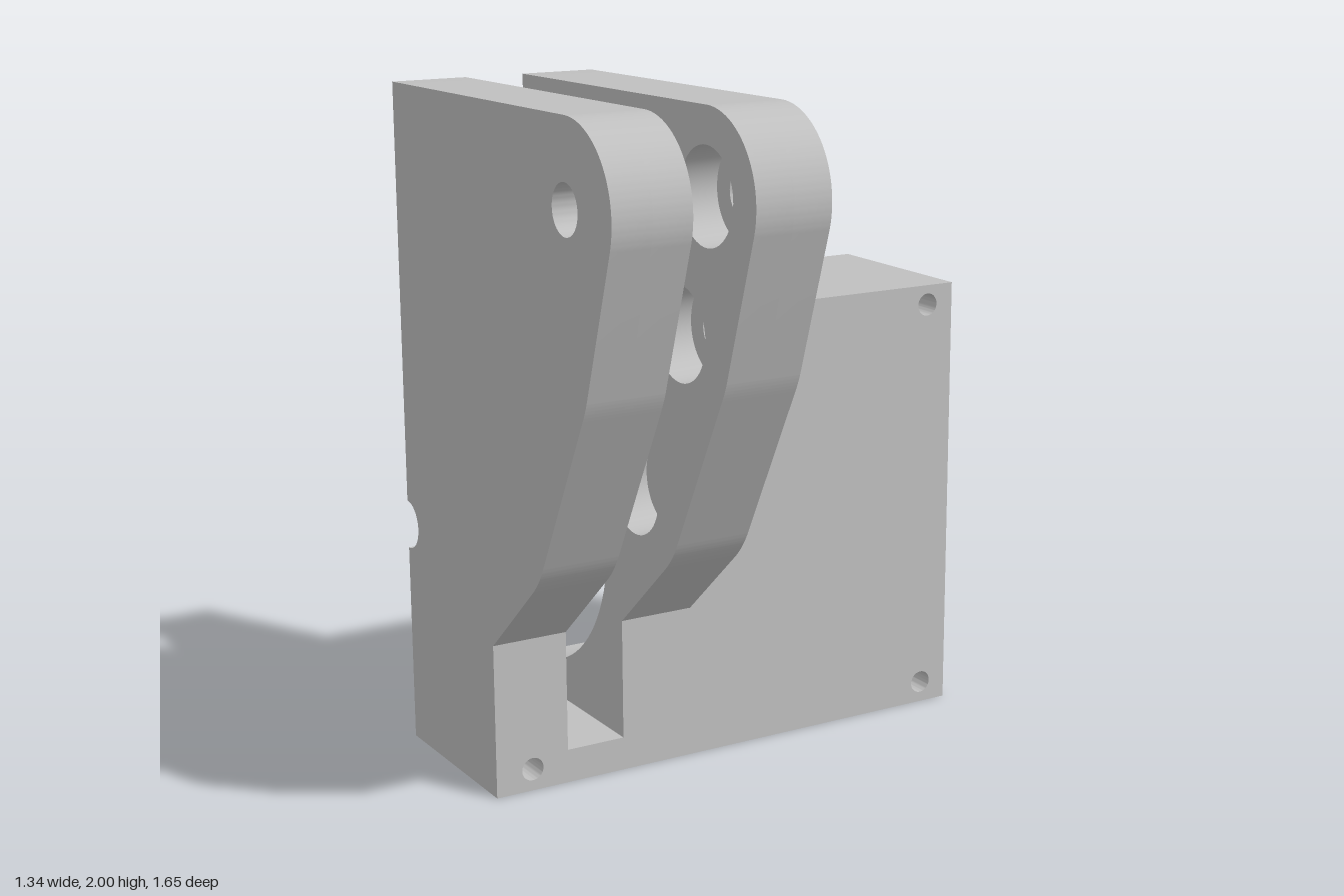
import * as THREE from 'three';
import { toCreasedNormals } from 'three/addons/utils/BufferGeometryUtils.js';

// Local axes: x = depth of the housing, y = up, z = along the shaft
const DEPTH = 0.566, BLOCK_TOP = 1.34, SHAFT_Y = 0.673;
const SHAFT_R = 0.073, SEAT_R = 0.13, CAVITY_R = 0.482;
const STRIP = 0.13;                                  // height of the screw strips
const PINS = [[1.052, 1.762], [0.911, 1.373], [0.652, 0.881]];
const PIN_R = 0.07, BORE_R = 0.135, SCREW_R = 0.034;

export function createModel() {
  const grey = new THREE.MeshStandardMaterial({ color: 0xbfbfbf });
  grey.name = 'light grey';
  const model = new THREE.Group();
  model.name = 'gearHousing';

  const extrude = (shape, depth) =>
    new THREE.ExtrudeGeometry(shape, { depth, bevelEnabled: false, curveSegments: 32 });

  const add = (name, geometry) => {
    const mesh = new THREE.Mesh(toCreasedNormals(geometry, 0.5), grey);
    mesh.name = name;
    model.add(mesh);
  };

  // Layer between two z positions
  const layer = (name, shape, z0, z1) => add(name, extrude(shape, z1 - z0).translate(0, 0, z0));

  // Half-round channel for the shaft, cut into the x = 0 edge on the way down
  const channel = (s, r) => {
    s.lineTo(0, SHAFT_Y + r);
    s.absarc(0, SHAFT_Y, r, Math.PI / 2, -Math.PI / 2, true);
  };

  const wallShape = (r) => {
    const s = new THREE.Shape();
    s.moveTo(0, STRIP);
    s.lineTo(DEPTH, STRIP);
    s.lineTo(DEPTH, BLOCK_TOP - STRIP);
    s.lineTo(0, BLOCK_TOP - STRIP);
    channel(s, r);
    s.closePath();
    return s;
  };

  // Tall plate outline, optionally notched for the screw inserts
  const plateShape = (channelR, holes, notched) => {
    const s = new THREE.Shape();
    const base = notched ? STRIP : 0;
    s.moveTo(0, base);
    s.lineTo(DEPTH, base);
    s.lineTo(DEPTH, 0.46);
    s.lineTo(0.82, 0.685);
    s.quadraticCurveTo(0.865, 0.725, 0.893, 0.78);
    s.lineTo(1.13, 1.23);
    s.quadraticCurveTo(1.147, 1.262, 1.156, 1.29);
    s.absarc(1.058, 1.76, 0.24, -0.33, Math.PI / 2, false);
    s.lineTo(0, 1.985);
    if (notched) {
      s.lineTo(0, BLOCK_TOP);
      s.lineTo(DEPTH, BLOCK_TOP);
      s.lineTo(DEPTH, BLOCK_TOP - STRIP);
      s.lineTo(0, BLOCK_TOP - STRIP);
    }
    channel(s, channelR);
    s.closePath();
    for (const [[x, y], r] of holes) {
      s.holes.push(new THREE.Path().absarc(x, y, r, 0, Math.PI * 2, true));
    }
    return s;
  };

  // Bar running along z with a screw hole drilled along x
  const screwStrip = (name, z0, z1, y0, holeZ, holeY) => {
    const s = new THREE.Shape();
    s.moveTo(-z1, y0);
    s.lineTo(-z0, y0);
    s.lineTo(-z0, y0 + STRIP);
    s.lineTo(-z1, y0 + STRIP);
    s.closePath();
    s.holes.push(new THREE.Path().absarc(-holeZ, holeY, SCREW_R, 0, Math.PI * 2, true));
    add(name, extrude(s, DEPTH).rotateY(Math.PI / 2));
  };

  const box = (name, y0, y1, z0, z1) =>
    add(name, new THREE.BoxGeometry(DEPTH, y1 - y0, z1 - z0)
      .translate(DEPTH / 2, (y0 + y1) / 2, (z0 + z1) / 2));

  // Housing block: end wall, bearing seat and round cavity
  layer('endWall', wallShape(SHAFT_R), 0, 0.114);
  layer('bearingSeat', wallShape(SEAT_R), 0.114, 0.227);
  layer('cavityWall', wallShape(CAVITY_R), 0.227, 0.93);

  // Screw strips of the block and inserts of the front plate
  for (const [label, y0, holeY] of [['lower', 0, 0.065], ['upper', BLOCK_TOP - STRIP, 1.28]]) {
    screwStrip(label + 'ScrewStrip', 0, 0.93, y0, 0.09, holeY);
    screwStrip(label + 'ScrewInsert', 1.341, 1.57, y0, 1.455, holeY);
  }

  // Rear plate: pin holes behind, wider bores facing the slot
  layer('rearPlateBack', plateShape(CAVITY_R, PINS.map(p => [p, PIN_R]), false), 0.93, 1.044);
  layer('rearPlateFront', plateShape(CAVITY_R, PINS.map(p => [p, BORE_R]), false), 1.044, 1.158);

  // Floor and bridge closing the slot between the plates
  box('slotFloor', 0, 0.1, 1.158, 1.341);
  box('slotBridge', 1.24, BLOCK_TOP, 1.158, 1.341);

  // Front plate: blind bores facing the slot, only the top pin passes through
  layer('frontPlateBack', plateShape(SEAT_R, PINS.map(p => [p, BORE_R]), true), 1.341, 1.455);
  layer('frontPlateFront', plateShape(SHAFT_R, [[PINS[0], PIN_R]], true), 1.455, 1.57);

  model.rotation.y = -0.065;
  model.position.set(-0.565, 0, -0.83);
  const root = new THREE.Group();
  root.name = 'housingModel';
  root.add(model);
  return root;
}
